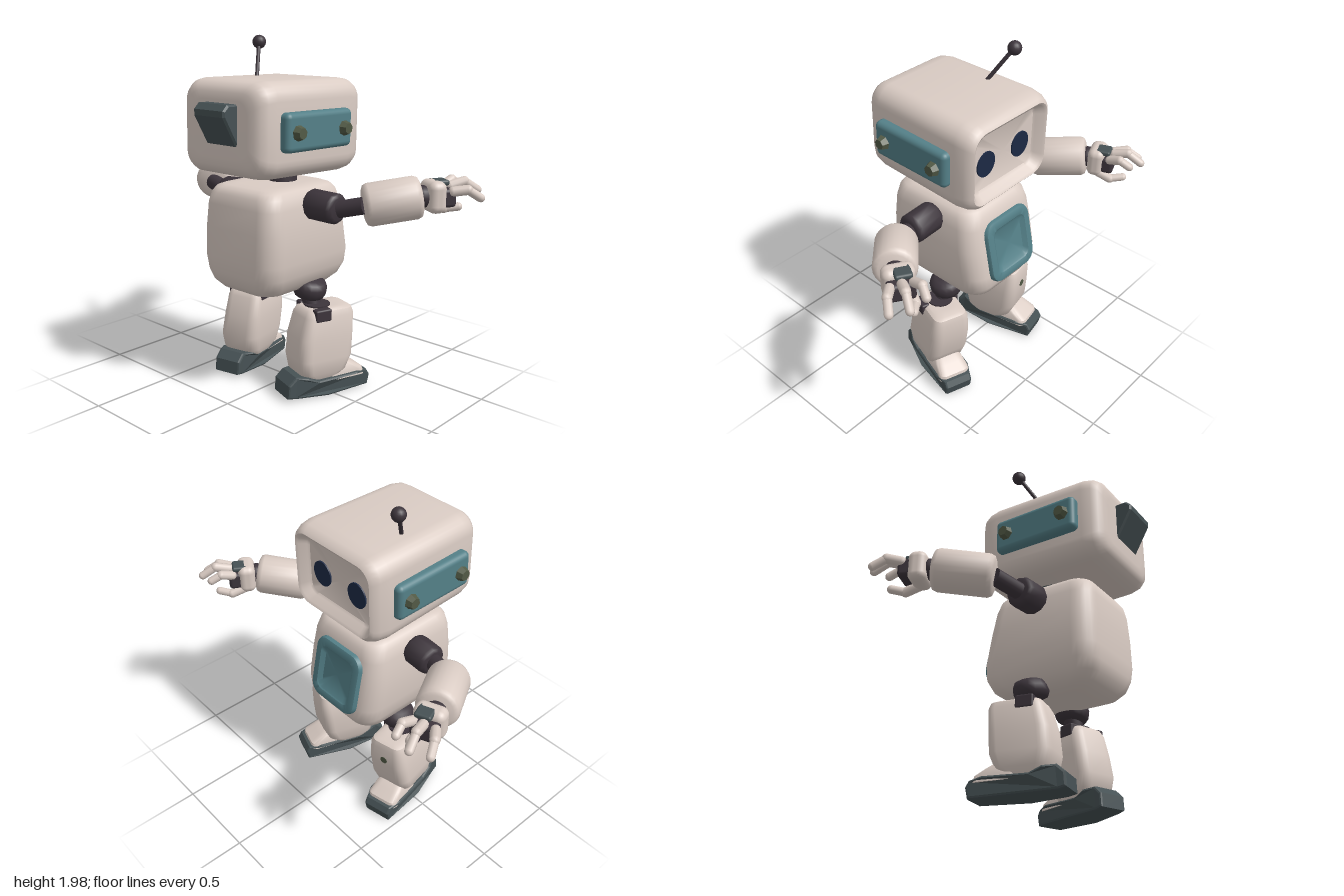
import * as THREE from 'three';
import { toCreasedNormals } from 'three/addons/utils/BufferGeometryUtils.js';
import { RoundedBoxGeometry } from 'three/addons/geometries/RoundedBoxGeometry.js';

const paint = (name, color) => {
  const m = new THREE.MeshStandardMaterial({ color });
  m.name = name;
  return m;
};
const V = (p) => new THREE.Vector3(...p);

// Stacks rounded rectangles along y. Section: [y, halfX, halfZ, radius, centreX, centreZ]
function loft(sections, crease = 0.65) {
  const pos = [], idx = [], steps = 6, n = 4 * (steps + 1);
  for (const [y, a, b, r, cx = 0, cz = 0] of sections) {
    for (let q = 0; q < 4; q++) {
      const sx = q === 0 || q === 3 ? 1 : -1, sz = q < 2 ? 1 : -1;
      for (let k = 0; k <= steps; k++) {
        const t = (q + k / steps) * Math.PI / 2;
        pos.push(cx + sx * (a - r) + r * Math.cos(t), y, cz + sz * (b - r) + r * Math.sin(t));
      }
    }
  }
  const last = sections.length - 1;
  for (let s = 0; s < last; s++) for (let i = 0; i < n; i++) {
    const j = (i + 1) % n, a = s * n + i, b = s * n + j, c = a + n, d = b + n;
    idx.push(a, c, b, b, c, d);
  }
  const end = pos.length / 3;
  for (const s of [sections[0], sections[last]]) pos.push(s[4] || 0, s[0], s[5] || 0);
  for (let i = 0; i < n; i++) {
    const j = (i + 1) % n;
    idx.push(end, i, j, end + 1, last * n + j, last * n + i);
  }
  const g = new THREE.BufferGeometry();
  g.setAttribute('position', new THREE.Float32BufferAttribute(pos, 3));
  g.setIndex(idx);
  g.computeVertexNormals();
  return toCreasedNormals(g, crease);
}

// Barrel with softened rims, along y
function barrel(r, h, soft, sides = 24) {
  const p = [[0, -h / 2], [r - soft, -h / 2], [r - soft * 0.3, -h / 2 + soft * 0.3], [r, -h / 2 + soft],
    [r, h / 2 - soft], [r - soft * 0.3, h / 2 - soft * 0.3], [r - soft, h / 2], [0, h / 2]];
  return toCreasedNormals(new THREE.LatheGeometry(p.map(([x, y]) => new THREE.Vector2(x, y)), sides), 0.9);
}

export function createModel() {
  const shell = paint('shell beige', 0xdaccc4);
  const teal = paint('panel teal', 0x548088);
  const dark = paint('joint charcoal', 0x3d353c);
  const slate = paint('sole slate', 0x465154);
  const olive = paint('bolt olive', 0x525a46);
  const navy = paint('eye navy', 0x1d2a45);

  const robot = new THREE.Group();
  robot.name = 'robot';
  const add = (parent, name, geo, mat, at = [0, 0, 0], rot = [0, 0, 0]) => {
    const m = new THREE.Mesh(geo, mat);
    m.name = name;
    m.position.set(...at);
    m.rotation.set(...rot);
    parent.add(m);
    return m;
  };
  const group = (parent, name, at, yaw = 0) => {
    const g = new THREE.Group();
    g.name = name;
    g.position.set(...at);
    g.rotation.y = yaw;
    parent.add(g);
    return g;
  };
  // Places a y-aligned geometry, made for a given length, between two points
  const span = (parent, name, a, b, make, mat) => {
    const A = V(a), B = V(b), d = B.clone().sub(A);
    const m = add(parent, name, make(d.length()), mat, A.clone().add(B).multiplyScalar(0.5).toArray());
    m.quaternion.setFromUnitVectors(new THREE.Vector3(0, 1, 0), d.normalize());
    return m;
  };
  const rod = (r) => (len) => new THREE.CylinderGeometry(r, r, len, 16);
  const capsule = (r) => (len) => new THREE.CapsuleGeometry(r, len, 4, 10);

  // Head, lofted back to front and folded inwards for the recessed face
  const head = group(robot, 'head', [0, 1.505, -0.045]);
  head.rotation.z = -0.02;
  add(head, 'headShell', loft([
    [-0.478, 0.15, 0.2, 0.07], [-0.475, 0.19, 0.245, 0.08], [-0.458, 0.222, 0.28, 0.09], [-0.425, 0.243, 0.302, 0.1],
    [-0.37, 0.252, 0.312, 0.1], [0.18, 0.255, 0.325, 0.1], [0.24, 0.248, 0.318, 0.1], [0.275, 0.232, 0.303, 0.09],
    [0.289, 0.215, 0.287, 0.085], [0.28, 0.2, 0.272, 0.075], [0.24, 0.178, 0.25, 0.06], [0.23, 0.165, 0.24, 0.055],
  ]), shell, [0, 0, 0], [0, 0, -Math.PI / 2]);
  for (const z of [0.138, -0.134]) {
    add(head, 'eye', new THREE.CylinderGeometry(0.068, 0.068, 0.008, 28), navy, [0.234, -0.018, z], [0, 0, -Math.PI / 2])
      .scale.x = 1.08;
  }
  for (const s of [1, -1]) {
    add(head, 'sidePanel', new RoundedBoxGeometry(0.51, 0.205, 0.08, 3, 0.03), teal, [-0.097, -0.003, s * 0.328]);
    for (const x of [-0.28, 0.083]) {
      add(head, 'bolt', toCreasedNormals(new THREE.CylinderGeometry(0.03, 0.044, 0.04, 7), 0.3), olive,
        [x, -0.003, s * 0.383], [s * Math.PI / 2, 0, 0]);
    }
  }

  // Wedge on the back of the head
  const wedge = new THREE.Shape([[-0.46, 0.125], [-0.535, 0.125], [-0.56, 0.1], [-0.56, 0.075], [-0.475, -0.07], [-0.46, -0.07]]
    .map(([x, y]) => new THREE.Vector2(x, y)));
  add(head, 'backFin', new THREE.ExtrudeGeometry(wedge, { depth: 0.21, bevelSize: 0.01, bevelThickness: 0.01, bevelSegments: 1 }),
    slate, [0, 0, -0.09]);

  // Antenna
  span(robot, 'antennaRod', [-0.04, 1.74, -0.21], [0.075, 1.94, -0.305], rod(0.011), dark);
  add(robot, 'antennaTip', new THREE.SphereGeometry(0.039, 16, 12), dark, [0.077, 1.94, -0.305]);

  // Neck
  add(robot, 'neck', new THREE.CylinderGeometry(0.075, 0.085, 0.14, 20), dark, [-0.01, 1.2, -0.04]);
  add(robot, 'neckCollar', new THREE.CylinderGeometry(0.13, 0.11, 0.025, 20), slate, [-0.01, 1.245, -0.04]);

  // Torso: [y, back x, front x, half depth, corner radius]
  const torso = [
    [0.574, -0.22, 0.08, 0.11, 0.08], [0.58, -0.28, 0.14, 0.165, 0.1], [0.6, -0.335, 0.215, 0.208, 0.1],
    [0.64, -0.372, 0.272, 0.245, 0.11], [0.7, -0.39, 0.302, 0.267, 0.11], [0.78, -0.395, 0.3, 0.281, 0.11],
    [0.95, -0.388, 0.268, 0.281, 0.11], [1.08, -0.377, 0.242, 0.268, 0.1], [1.14, -0.365, 0.225, 0.253, 0.1],
    [1.17, -0.343, 0.2, 0.23, 0.09], [1.183, -0.31, 0.165, 0.198, 0.08], [1.186, -0.25, 0.11, 0.14, 0.07],
  ];
  add(robot, 'torso', loft(torso.map(([y, x0, x1, h, r]) => [y, (x1 - x0) / 2, h, r, (x0 + x1) / 2, -0.05])), shell);

  // Chest panel with a sunken middle, leaning back with the torso
  add(robot, 'chestPanel', loft([
    [-0.07, 0.19, 0.178, 0.075], [0.01, 0.19, 0.178, 0.075], [0.022, 0.184, 0.172, 0.07], [0.026, 0.172, 0.16, 0.06],
    [0.026, 0.138, 0.132, 0.045], [0.021, 0.132, 0.126, 0.04], [0.006, 0.108, 0.108, 0.03],
  ]), teal, [0.277, 0.91, -0.06], [0, 0, -Math.PI / 2 + 0.2]);

  // Arms
  const arms = [
    { s: 1, shoulder: [-0.045, 1.09, 0.2], cap: [-0.04, 1.085, 0.395], elbow: [0.005, 1.12, 0.53],
      wrist: [0.21, 1.165, 0.735], yaw: -0.55 },
    { s: -1, shoulder: [-0.055, 1.08, -0.31], cap: [-0.05, 1.07, -0.47], elbow: [-0.005, 1.095, -0.63],
      wrist: [0.26, 1.135, -0.79], yaw: 0.38 },
  ];
  for (const { s, shoulder, cap, elbow, wrist, yaw } of arms) {
    const arm = group(robot, s > 0 ? 'armPlusZ' : 'armMinusZ', [0, 0, 0]);
    span(arm, 'shoulderJoint', shoulder, cap, (len) => barrel(0.086, len, 0.025, 12), dark);
    span(arm, 'upperArm', cap, elbow, rod(0.047), dark);
    span(arm, 'forearm', elbow, wrist, (len) => barrel(0.115, len + 0.01, 0.03), shell);
    const hand = group(arm, 'hand', wrist, yaw);
    add(hand, 'wrist', new THREE.SphereGeometry(0.06, 14, 10), dark, [0.015, 0, 0]);
    add(hand, 'cuff', new RoundedBoxGeometry(0.1, 0.17, 0.17, 3, 0.04), shell, [0.075, 0, 0]);
    add(hand, 'palm', new RoundedBoxGeometry(0.11, 0.1, 0.14, 2, 0.02), dark, [0.125, -0.005, 0]);
    add(hand, 'handPlate', new RoundedBoxGeometry(0.09, 0.03, 0.09, 2, 0.012), slate, [0.11, 0.07, -s * 0.015]);
    const fingers = [
      [[0.16, 0.04, -0.06], [0.22, 0.065, -0.085], [0.28, 0.035, -0.09]],
      [[0.17, 0.05, 0], [0.25, 0.07, 0], [0.33, 0.02, 0]],
      [[0.16, 0.03, 0.06], [0.23, 0.04, 0.085], [0.3, -0.005, 0.095]],
      [[0.09, -0.06, -0.05], [0.17, -0.085, -0.06], [0.24, -0.075, -0.035]],
    ];
    for (const f of fingers) {
      const p = f.map(([x, y, z]) => [x, y, z * s]);
      span(hand, 'fingerBase', p[0], p[1], capsule(0.027), shell);
      span(hand, 'fingerTip', p[1], p[2], capsule(0.023), shell);
    }
  }

  // Legs and feet
  const sole = new THREE.Shape([[-0.255, 0.03], [-0.25, 0.09], [-0.21, 0.125], [-0.15, 0.12], [-0.08, 0.09], [0.17, 0.095],
    [0.24, 0.085], [0.255, 0.06], [0.245, 0.015], [-0.02, 0.012], [-0.22, 0.022]].map(([x, y]) => new THREE.Vector2(x, y)));
  const soleGeo = new THREE.ExtrudeGeometry(sole, { depth: 0.19, bevelSize: 0.012, bevelThickness: 0.015, bevelSegments: 2 });
  soleGeo.translate(0, 0, -0.095);
  // Cut the corners of the sole at toe and heel
  const sp = soleGeo.attributes.position;
  for (let i = 0; i < sp.count; i++) {
    if (Math.abs(sp.getX(i)) > 0.2) sp.setZ(i, sp.getZ(i) * 0.78);
  }
  soleGeo.computeVertexNormals();

  for (const { s, hip, z, yaw } of [{ s: 1, hip: 0.16, z: 0.225, yaw: -0.33 }, { s: -1, hip: -0.26, z: -0.3, yaw: 0.2 }]) {
    const leg = group(robot, s > 0 ? 'legPlusZ' : 'legMinusZ', [0, 0, 0]);
    add(leg, 'hipJoint', barrel(0.097, 0.11, 0.04, 16), dark, [0, 0.59, hip], [s * 0.2, 0, 0]);
    span(leg, 'thigh', [0, 0.58, hip], [-0.01, 0.38, z - s * 0.02], rod(0.052), dark);
    const shin = group(leg, 'lowerLeg', [0, 0, z], yaw);
    add(shin, 'shinShell', loft([
      [0.09, 0.08, 0.08, 0.05, -0.02, s * 0.01], [0.1, 0.11, 0.1, 0.06, -0.02, s * 0.01],
      [0.14, 0.145, 0.118, 0.06, -0.015, s * 0.01], [0.22, 0.168, 0.126, 0.06, -0.005, s * 0.01],
      [0.34, 0.167, 0.124, 0.06, 0.01], [0.46, 0.152, 0.113, 0.05, 0.03], [0.492, 0.138, 0.1, 0.045, 0.035],
      [0.503, 0.118, 0.08, 0.04, 0.035], [0.503, 0.06, 0.05, 0.03, 0.035],
    ]), shell);
    // Dark notches at the top rim
    for (const side of [1, -1]) {
      add(shin, 'kneeNotch', new RoundedBoxGeometry(0.1, 0.07, 0.05, 2, 0.01), dark, [-0.03, 0.475, side * 0.094]);
    }
    add(shin, 'kneeSocket', new THREE.CylinderGeometry(0.075, 0.075, 0.012, 16), dark, [-0.005, 0.505, -s * 0.01]);
    if (s < 0) {
      add(shin, 'shinBolt', new THREE.CylinderGeometry(0.022, 0.022, 0.02, 12), olive, [0.172, 0.375, 0], [0, 0, -Math.PI / 2]);
    }
    const foot = group(leg, 'foot', [0.01, 0, s > 0 ? 0.25 : -0.325], yaw);
    add(foot, 'sole', soleGeo, slate);
    add(foot, 'toeCap', loft([
      [0.08, 0.125, 0.098, 0.04, 0.11], [0.115, 0.12, 0.095, 0.04, 0.105], [0.15, 0.09, 0.085, 0.04, 0.08],
      [0.18, 0.06, 0.07, 0.035, 0.06], [0.188, 0.04, 0.05, 0.03, 0.055],
    ]), shell);
  }
  return robot;
}
